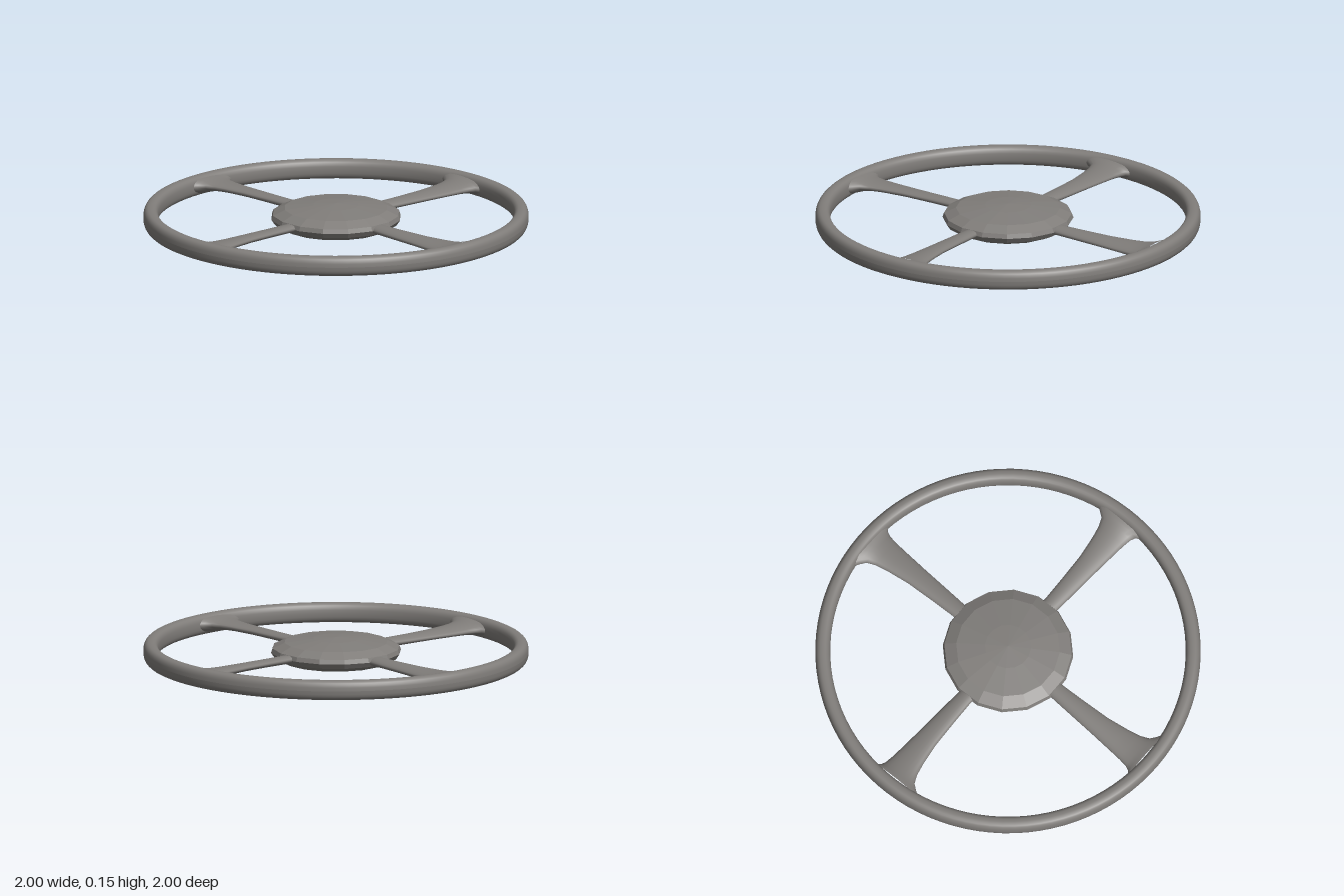
import * as THREE from 'three';

const MID = 0.085; // height of the wheel's central plane
const material = new THREE.MeshStandardMaterial({ color: 0x807d7a });

// Rim: a softly squared section turned around the y axis
function rim() {
  const soft = (v) => Math.sign(v) * Math.pow(Math.abs(v), 0.78);
  const section = [];
  for (let i = 0; i <= 24; i++) {
    const a = (i / 24) * Math.PI * 2;
    section.push(new THREE.Vector2(0.961 + 0.039 * soft(Math.cos(a)), MID + 0.052 * soft(Math.sin(a))));
  }
  return new THREE.Mesh(new THREE.LatheGeometry(section, 96), material);
}

// Hub: a faceted, lens-shaped disc
function hub() {
  const profile = [
    [0, 0.006], [0.15, 0.015], [0.27, 0.033], [0.322, 0.058], [0.34, 0.085],
    [0.332, 0.108], [0.27, 0.136], [0.12, 0.153], [0, 0.16],
  ].map(([r, y]) => new THREE.Vector2(r, y));
  const faceted = material.clone();
  faceted.flatShading = true;
  return new THREE.Mesh(new THREE.LatheGeometry(profile, 16), faceted);
}

// Spoke: oval sections lofted outwards, slightly pitched, flaring into the rim.
// Each row: left edge x, z; right edge x, z; rise of the left edge; half thickness
const SECTIONS = [
  [-0.09, -0.27, 0.0, -0.27, 0.003, 0.022],
  [-0.1, -0.34, -0.01, -0.34, 0.003, 0.022],
  [-0.128, -0.47, -0.025, -0.47, 0.004, 0.021],
  [-0.163, -0.62, -0.043, -0.62, 0.005, 0.021],
  [-0.203, -0.74, -0.057, -0.75, 0.006, 0.022],
  [-0.228, -0.8, -0.065, -0.83, 0.006, 0.025],
  [-0.256, -0.842, -0.066, -0.88, 0.006, 0.03],
  [-0.295, -0.862, -0.058, -0.908, 0.005, 0.037],
  [-0.345, -0.877, -0.03, -0.932, 0.004, 0.042],
];

function spokeGeometry() {
  const sides = 20, positions = [], index = [];
  for (const [lx, lz, rx, rz, rise, half] of SECTIONS) {
    for (let j = 0; j < sides; j++) {
      const a = (j / sides) * Math.PI * 2, c = Math.cos(a);
      const t = (1 + c) / 2;
      positions.push(lx + (rx - lx) * t, MID - rise * c + half * Math.sin(a), lz + (rz - lz) * t);
    }
  }
  for (let i = 0; i < SECTIONS.length - 1; i++) {
    for (let j = 0; j < sides; j++) {
      const k = (j + 1) % sides;
      const a = i * sides + j, b = i * sides + k, c = a + sides, d = b + sides;
      index.push(a, c, b, b, c, d);
    }
  }
  const geometry = new THREE.BufferGeometry();
  geometry.setAttribute('position', new THREE.Float32BufferAttribute(positions, 3));
  geometry.setIndex(index);
  geometry.computeVertexNormals();
  return geometry;
}

export function createModel() {
  const model = new THREE.Group();
  model.name = 'wheel';
  const add = (mesh, name) => { mesh.name = name; model.add(mesh); return mesh; };
  add(rim(), 'rim');
  add(hub(), 'hub');
  const spoke = spokeGeometry();
  for (let i = 0; i < 4; i++) {
    add(new THREE.Mesh(spoke, material), `spoke${i + 1}`).rotation.y = (i * Math.PI) / 2;
  }
  return model;
}
